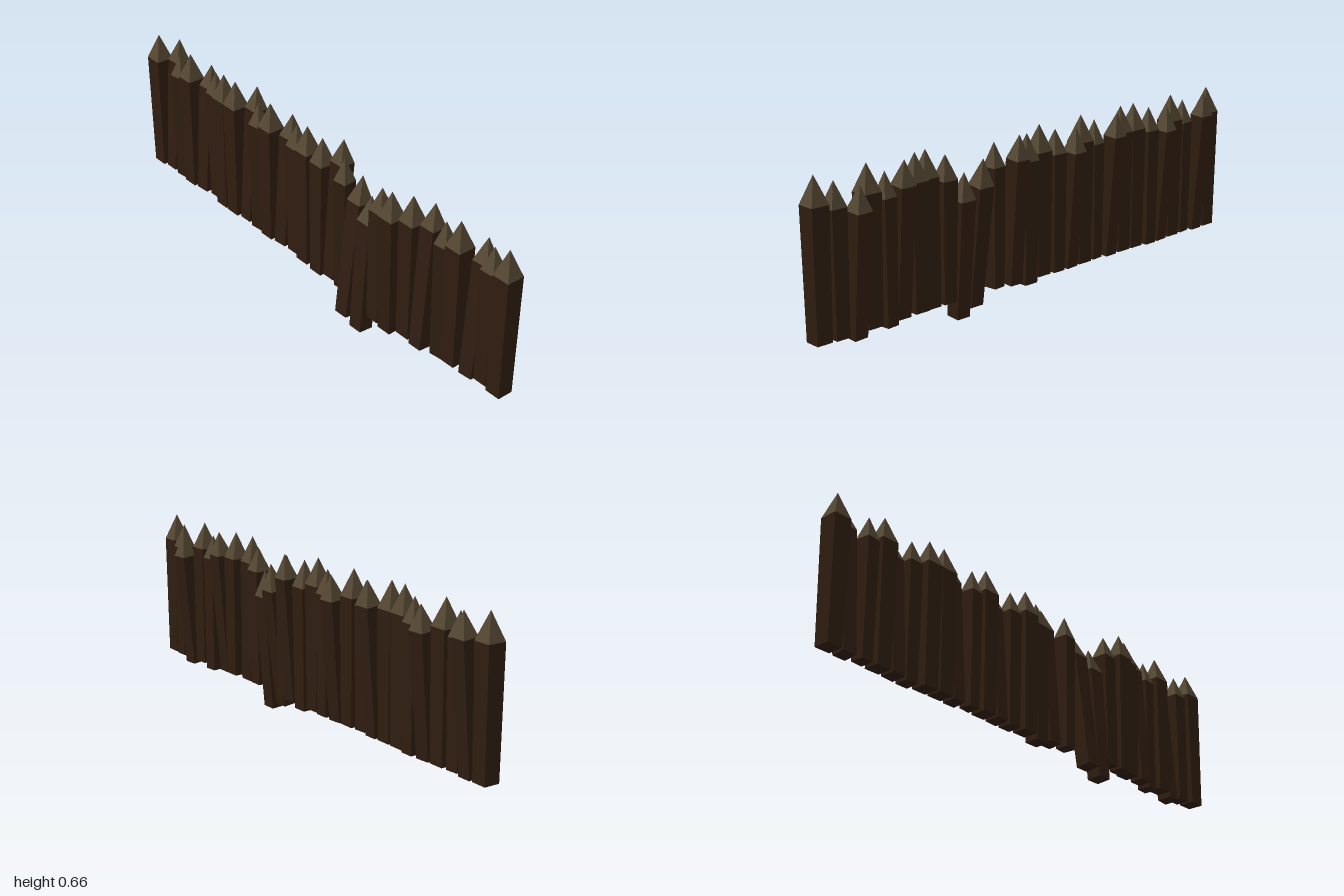
import * as THREE from 'three';

const wood = new THREE.MeshStandardMaterial({ color: 0x2f1d11, flatShading: true });
const cutWood = new THREE.MeshStandardMaterial({ color: 0x544733, flatShading: true });

// Four-sided tapered block standing on its base, sides facing the axes
function block(topWidth, baseWidth, height, y, material, name) {
  const geo = new THREE.CylinderGeometry(topWidth / Math.SQRT2, baseWidth / Math.SQRT2, height, 4);
  geo.rotateY(Math.PI / 4).translate(0, y + height / 2, 0);
  const mesh = new THREE.Mesh(geo, material);
  mesh.name = name;
  return mesh;
}

// Sharpened stake leaning sideways from its base
function stake([baseX, topX, baseY, tipY, width, yaw = 0], z) {
  const g = new THREE.Group();
  g.name = 'stake';
  const tip = width > 0.065 ? 0.1 : 0.09;
  const shaft = tipY - baseY - tip;
  g.add(block(width, width * 0.87, shaft, 0, wood, 'shaft'));
  g.add(block(0, width, tip, shaft, cutWood, 'point'));
  g.position.set(baseX, baseY, z);
  g.rotation.set(0, yaw, -Math.atan2(topX - baseX, shaft), 'ZYX');
  return g;
}

// From front to back: base x, shoulder x, base y, tip y, width, twist
const stakes = [
  [0.004, 0.004, 0.09, 0.66, 0.07],
  [0.012, 0.012, 0.09, 0.63, 0.062],
  [0.011, 0.05, 0.073, 0.612, 0.064, 0.08],
  [0, 0, 0.09, 0.66, 0.07],
  [0.005, 0.005, 0.075, 0.62, 0.057, 0.1],
  [-0.022, 0.015, 0.082, 0.65, 0.064],
  [-0.013, -0.012, 0.087, 0.655, 0.069],
  [-0.035, -0.041, 0.078, 0.648, 0.068],
  [-0.03, -0.023, 0.08, 0.62, 0.064],
  [-0.045, -0.012, 0.003, 0.547, 0.066],
  [-0.053, 0.004, 0.03, 0.59, 0.066],
  [-0.007, -0.007, 0.09, 0.63, 0.057, 0.1],
  [0.005, 0.042, 0.09, 0.655, 0.062],
  [0.006, 0.01, 0.075, 0.64, 0.067],
  [0, 0, 0.09, 0.66, 0.07],
  [0.01, 0.01, 0.09, 0.632, 0.062],
  [0.004, 0.04, 0.09, 0.632, 0.064, 0.08],
  [0, 0, 0.09, 0.66, 0.07],
  [0, 0, 0.09, 0.63, 0.057, 0.1],
  [0.004, 0.042, 0.09, 0.655, 0.062],
  [0, 0, 0.09, 0.66, 0.07],
  [0, 0, 0.09, 0.66, 0.07],
  [0.015, 0.015, 0.09, 0.635, 0.06],
  [0.004, 0.04, 0.09, 0.63, 0.064, 0.08],
  [0, 0, 0.09, 0.66, 0.07],
  [0, 0, 0.09, 0.63, 0.057, 0.1],
  [0.004, 0.042, 0.09, 0.655, 0.062],
  [0, 0, 0.09, 0.66, 0.07],
];

export function createModel() {
  const fence = new THREE.Group();
  fence.name = 'palisade';
  const step = 1.93 / (stakes.length - 1);
  stakes.forEach((s, i) => fence.add(stake(s, 0.965 - i * step)));
  return fence;
}
